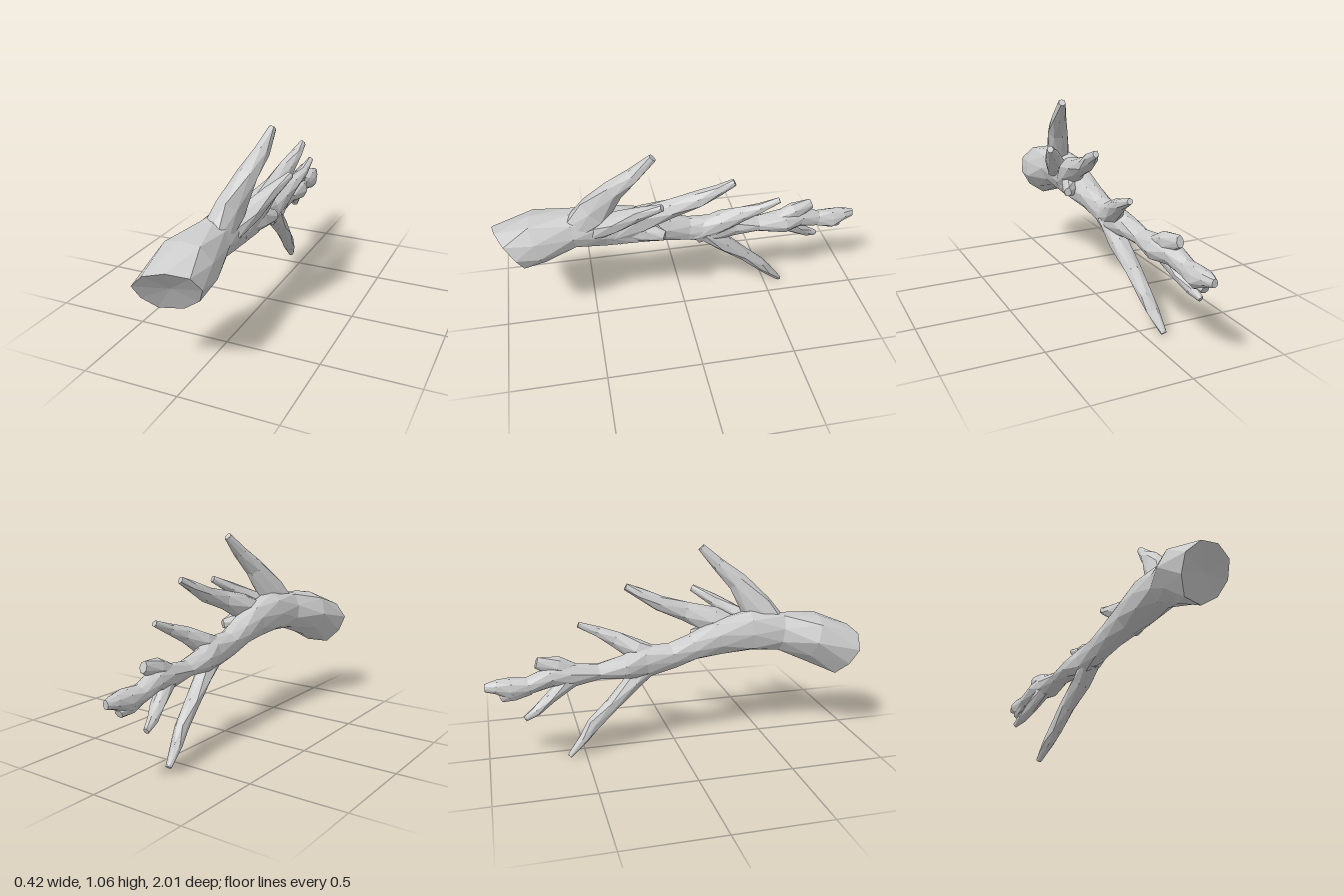
import * as THREE from 'three';

// Small seeded generator for the faceted, uneven bark
function seeded(seed) {
  let s = seed * 7919 + 17;
  return () => ((s = (s * 16807) % 2147483647) / 2147483647);
}

// Faceted limb: rings of [x, y, z, half width, half height] skinned and capped.
// cut: optional outward normal of the start face; dent: how far that face sinks in.
function limb(name, rings, sides, seed, { cut, dent = 0, rough = 0.12 } = {}) {
  const rand = seeded(seed);
  const centres = rings.map((r) => new THREE.Vector3(r[0], r[1], r[2]));
  const last = rings.length - 1;
  const loops = rings.map(([, , , rx, ry], i) => {
    const t = centres[Math.min(i + 1, last)].clone().sub(centres[Math.max(i - 1, 0)]);
    if (i === 0 && cut) t.set(-cut[0], -cut[1], -cut[2]);
    t.normalize();
    const side = new THREE.Vector3(1, 0, 0).addScaledVector(t, -t.x).normalize();
    const up = t.clone().cross(side);
    return Array.from({ length: sides }, (_, j) => {
      const a = ((j + (i % 2) * 0.5) / sides) * Math.PI * 2;
      const k = 1.05 + (rand() - 0.5) * 2 * rough;
      return centres[i].clone()
        .addScaledVector(side, Math.cos(a) * rx * k)
        .addScaledVector(up, Math.sin(a) * ry * k);
    });
  });
  const pts = [];
  const startCentre = centres[0].clone().lerp(centres[1], dent);
  for (let j = 0; j < sides; j++) {
    const n = (j + 1) % sides;
    pts.push(startCentre, loops[0][n], loops[0][j]);
    pts.push(centres[last], loops[last][j], loops[last][n]);
    for (let i = 0; i < last; i++) {
      const A = loops[i], B = loops[i + 1];
      // Alternate rings are turned half a step, giving staggered triangles
      if (i % 2 === 0) pts.push(A[j], A[n], B[j], A[n], B[n], B[j]);
      else pts.push(A[j], B[n], B[j], A[j], A[n], B[n]);
    }
  }
  const geometry = new THREE.BufferGeometry().setFromPoints(pts);
  geometry.computeVertexNormals();
  const mesh = new THREE.Mesh(geometry, new THREE.MeshStandardMaterial({ color: 0xcccccc, flatShading: true }));
  mesh.name = name;
  return mesh;
}

export function createModel() {
  const group = new THREE.Group();
  group.name = 'brokenBranch';

  // Main stem, from the sawn butt to the thin far end
  group.add(limb('mainStem', [
    [-0.06, 0.485, 0.93, 0.158, 0.134],
    [-0.035, 0.553, 0.77, 0.142, 0.13],
    [-0.02, 0.59, 0.59, 0.095, 0.105],
    [-0.015, 0.605, 0.42, 0.087, 0.11],
    [-0.01, 0.58, 0.24, 0.084, 0.092],
    [-0.02, 0.535, 0.1, 0.07, 0.068],
    [-0.03, 0.505, -0.02, 0.06, 0.065],
    [-0.035, 0.485, -0.17, 0.062, 0.08],
    [-0.055, 0.47, -0.28, 0.06, 0.058],
    [-0.06, 0.46, -0.42, 0.05, 0.04],
    [-0.06, 0.455, -0.57, 0.066, 0.062],
    [-0.08, 0.46, -0.67, 0.052, 0.052],
    [-0.09, 0.43, -0.78, 0.045, 0.04],
    [-0.09, 0.418, -0.87, 0.05, 0.055],
    [-0.092, 0.437, -0.94, 0.036, 0.036],
    [-0.092, 0.435, -0.995, 0.015, 0.02],
  ], 9, 3, { cut: [0.25, -0.5, 0.83], dent: 0.1, rough: 0.08 }));

  // Side shoots, each running from deep inside the stem to a blunt tip
  const shoots = {
    tallShoot: [
      [-0.015, 0.575, 0.6, 0.07, 0.08], [0.015, 0.715, 0.47, 0.066, 0.085], [0.06, 0.86, 0.37, 0.05, 0.052],
      [0.09, 0.955, 0.27, 0.04, 0.036], [0.11, 1.05, 0.18, 0.018, 0.02]],
    outerShoot: [
      [0.01, 0.58, 0.5, 0.05, 0.06], [0.08, 0.675, 0.37, 0.048, 0.05],
      [0.14, 0.75, 0.26, 0.036, 0.034], [0.195, 0.81, 0.15, 0.016, 0.018]],
    longShoot: [
      [0.0, 0.56, 0.38, 0.06, 0.08], [0.045, 0.66, 0.22, 0.06, 0.075], [0.07, 0.715, 0.08, 0.048, 0.054],
      [0.085, 0.765, -0.06, 0.038, 0.043], [0.1, 0.82, -0.16, 0.03, 0.03], [0.11, 0.86, -0.235, 0.015, 0.018]],
    sideStub: [
      [0.0, 0.57, 0.29, 0.06, 0.07], [0.06, 0.58, 0.2, 0.05, 0.058], [0.105, 0.57, 0.125, 0.018, 0.026]],
    middleShoot: [
      [-0.03, 0.47, -0.06, 0.05, 0.06], [-0.005, 0.545, -0.21, 0.052, 0.057], [0.03, 0.6, -0.31, 0.038, 0.038],
      [0.05, 0.642, -0.4, 0.027, 0.026], [0.06, 0.685, -0.5, 0.014, 0.014]],
    hangingShoot: [
      [-0.02, 0.48, -0.11, 0.05, 0.05], [-0.025, 0.375, -0.225, 0.05, 0.045], [-0.045, 0.265, -0.35, 0.04, 0.036],
      [-0.06, 0.165, -0.455, 0.035, 0.032], [-0.075, 0.1, -0.51, 0.032, 0.025], [-0.092, 0.012, -0.59, 0.016, 0.014]],
    lowerTwig: [
      [-0.07, 0.45, -0.55, 0.04, 0.045], [-0.11, 0.355, -0.68, 0.034, 0.032],
      [-0.135, 0.305, -0.75, 0.027, 0.024], [-0.15, 0.275, -0.81, 0.012, 0.015]],
    upperTwig: [
      [-0.06, 0.45, -0.52, 0.045, 0.05], [-0.066, 0.51, -0.635, 0.042, 0.05], [-0.075, 0.54, -0.735, 0.02, 0.028]],
    tipTwig: [
      [-0.09, 0.425, -0.78, 0.035, 0.04], [-0.093, 0.4, -0.86, 0.038, 0.042], [-0.095, 0.375, -0.92, 0.02, 0.022]],
  };
  Object.entries(shoots).forEach(([name, rings], i) => group.add(limb(name, rings, 7, 11 + i)));

  return group;
}
